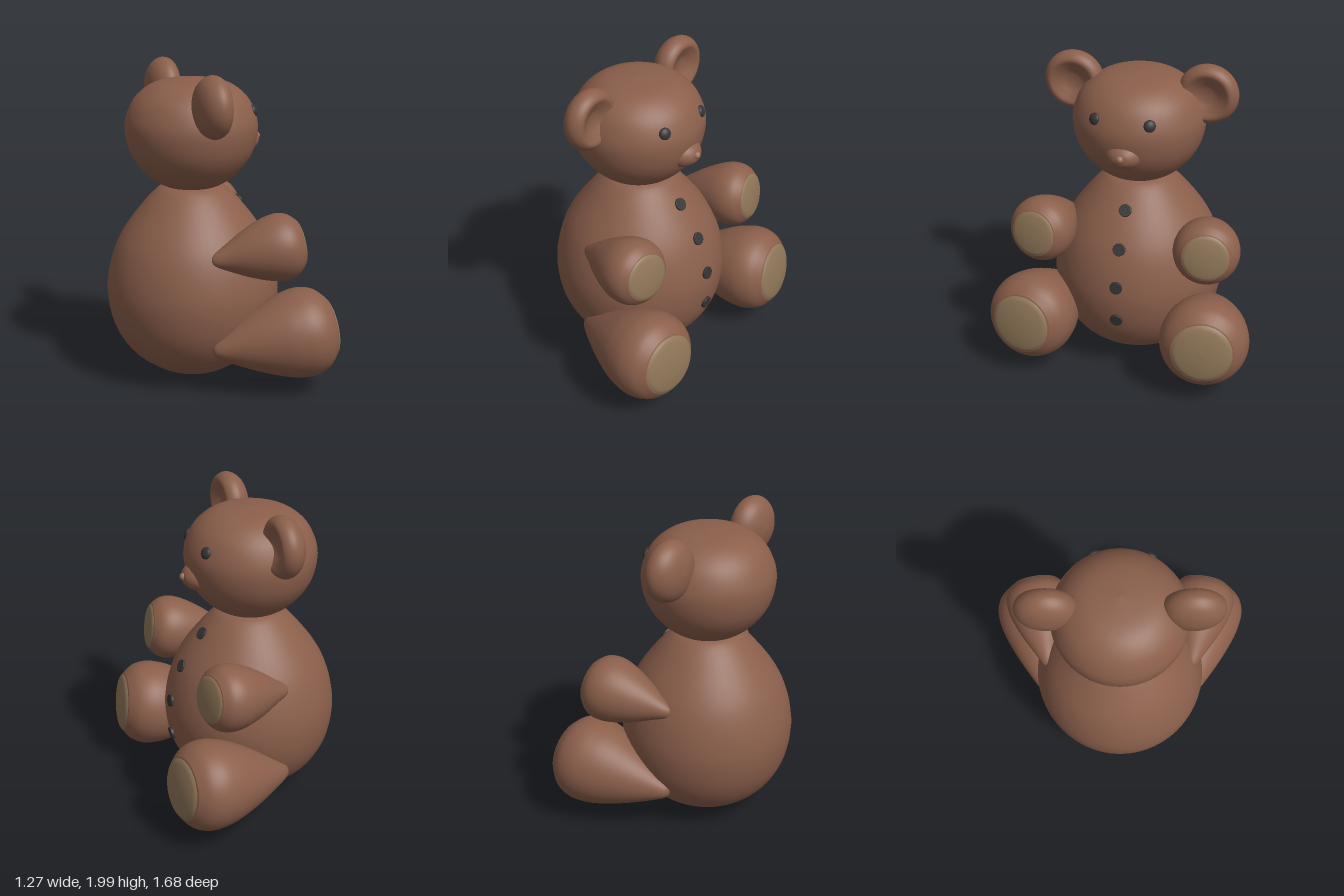
import * as THREE from 'three';

const paint = (color) => new THREE.MeshStandardMaterial({ color, side: THREE.DoubleSide });
const V = (x, y, z) => new THREE.Vector3(x, y, z);
const UP = V(0, 1, 0);

// Smooth turned shape from a few [radius, height] points
function turned(points, closed = false) {
  const curve = new THREE.SplineCurve(points.map(([r, h]) => new THREE.Vector2(r, h)));
  const profile = curve.getPoints(40).map((p) => new THREE.Vector2(Math.max(p.x, 0), p.y));
  if (closed) profile.push(new THREE.Vector2(0, profile[profile.length - 1].y));
  return new THREE.LatheGeometry(profile, 56);
}

// Radius of a profile at a height, and the outward slope there
function surfaceAt(points, y) {
  const curve = new THREE.SplineCurve(points.map(([r, h]) => new THREE.Vector2(r, h)));
  const samples = curve.getPoints(200);
  const i = Math.max(1, samples.findIndex((p) => p.y >= y));
  const a = samples[i - 1], b = samples[i];
  return { r: b.x, normal: new THREE.Vector2(b.y - a.y, a.x - b.x).normalize() };
}

export function createModel() {
  const group = new THREE.Group();
  const fur = paint(0x8b5f4b), padding = paint(0x8f7658), dark = paint(0x343434), noseMat = paint(0x96705a);

  // Place a mesh so that its local axis points along dir
  function add(name, geometry, material, position, dir = UP, axis = UP) {
    const mesh = new THREE.Mesh(geometry, material);
    mesh.name = name;
    mesh.position.copy(position);
    mesh.quaternion.setFromUnitVectors(axis, dir.clone().normalize());
    group.add(mesh);
    return mesh;
  }

  // Pear-shaped body and flattened round head
  const cx = -0.1;
  const bodyPts = [[0, 0.01], [0.15, 0.032], [0.29, 0.1], [0.42, 0.21], [0.51, 0.37], [0.545, 0.56],
    [0.53, 0.72], [0.485, 0.87], [0.42, 0.99], [0.33, 1.11], [0.25, 1.2], [0.17, 1.255], [0, 1.28]];
  const headPts = [[0, 1.22], [0.17, 1.255], [0.29, 1.335], [0.38, 1.46], [0.414, 1.6], [0.398, 1.71],
    [0.335, 1.82], [0.21, 1.9], [0, 1.928]];
  add('body', turned(bodyPts), fur, V(cx, 0, 0));
  add('head', turned(headPts), fur, V(cx - 0.007, 0, 0));

  // Muzzle and nose
  const muzzle = add('muzzle', turned([[0.11, 0], [0.113, 0.04], [0.092, 0.08], [0.05, 0.113], [0, 0.125]]),
    fur, V(0.22, 1.52, 0), V(1, 0, 0));
  muzzle.scale.x = 0.76;
  add('nose', new THREE.SphereGeometry(0.024, 20, 14), noseMat, V(0.336, 1.53, 0));

  // Limb profiles: narrow at the body, wide and rounded at the padded end
  const armPts = [[0, 0], [0.035, 0.015], [0.08, 0.1], [0.145, 0.225], [0.193, 0.35], [0.207, 0.44],
    [0.19, 0.51], [0.145, 0.56]];
  const legPts = [[0, 0], [0.04, 0.015], [0.095, 0.1], [0.175, 0.25], [0.24, 0.4], [0.27, 0.5],
    [0.28, 0.6], [0.253, 0.69], [0.19, 0.755]];
  const earPts = [[0, 0], [0.09, 0.015], [0.155, 0.05], [0.188, 0.105], [0.18, 0.155], [0.145, 0.185],
    [0.1, 0.168], [0.05, 0.145], [0, 0.138]];

  function limb(name, pts, start, dir, bulge) {
    add(name, turned(pts, true), fur, start, dir);
    const [r, length] = pts[pts.length - 1];
    const pad = turned([[r, 0], [r * 0.85, bulge * 0.45], [r * 0.45, bulge * 0.85], [0, bulge]]);
    add(name + 'Pad', pad, padding, start.clone().addScaledVector(dir.clone().normalize(), length), dir);
  }

  for (const s of [1, -1]) {
    const side = s > 0 ? 'right' : 'left';
    limb(side + 'Arm', armPts, V(-0.16, 0.875, s * 0.455), V(0.55, 0.09, s * 0.095), 0.025);
    limb(side + 'Leg', legPts, V(-0.16, 0.31, s * 0.485), V(0.74, 0.1, s * 0.1), 0.035);
    // Dished ears facing forward
    add(side + 'Ear', turned(earPts), fur, V(-0.25, 1.81, s * 0.425), V(1, 0, 0));
    // Flattened bead eyes
    const z = s > 0 ? 0.185 : -0.16;
    const { r, normal } = surfaceAt(headPts, 1.73);
    const x = Math.sqrt(r * r - z * z);
    const eye = add(side + 'Eye', new THREE.SphereGeometry(0.037, 24, 16), dark, V(cx - 0.007 + x, 1.73, z),
      V(normal.x * x / r, normal.y, normal.x * z / r));
    eye.scale.y = 0.55;
  }

  // Four-hole buttons down the belly
  const disc = new THREE.Shape().absarc(0, 0, 0.037, 0, Math.PI * 2);
  for (const [a, b] of [[1, 1], [1, -1], [-1, 1], [-1, -1]]) {
    disc.holes.push(new THREE.Path().absarc(a * 0.011, b * 0.011, 0.005, 0, Math.PI * 2, true));
  }
  const buttonGeo = new THREE.ExtrudeGeometry(disc, { depth: 0.014, bevelEnabled: true, bevelSize: 0.003,
    bevelThickness: 0.003, bevelSegments: 2, curveSegments: 14 });
  [1.12, 0.92, 0.69, 0.455].forEach((y, i) => {
    const { r, normal } = surfaceAt(bodyPts, y);
    add('button' + (i + 1), buttonGeo, dark, V(cx + r - 0.004, y, 0), V(normal.x, normal.y, 0), V(0, 0, 1));
  });

  return group;
}
